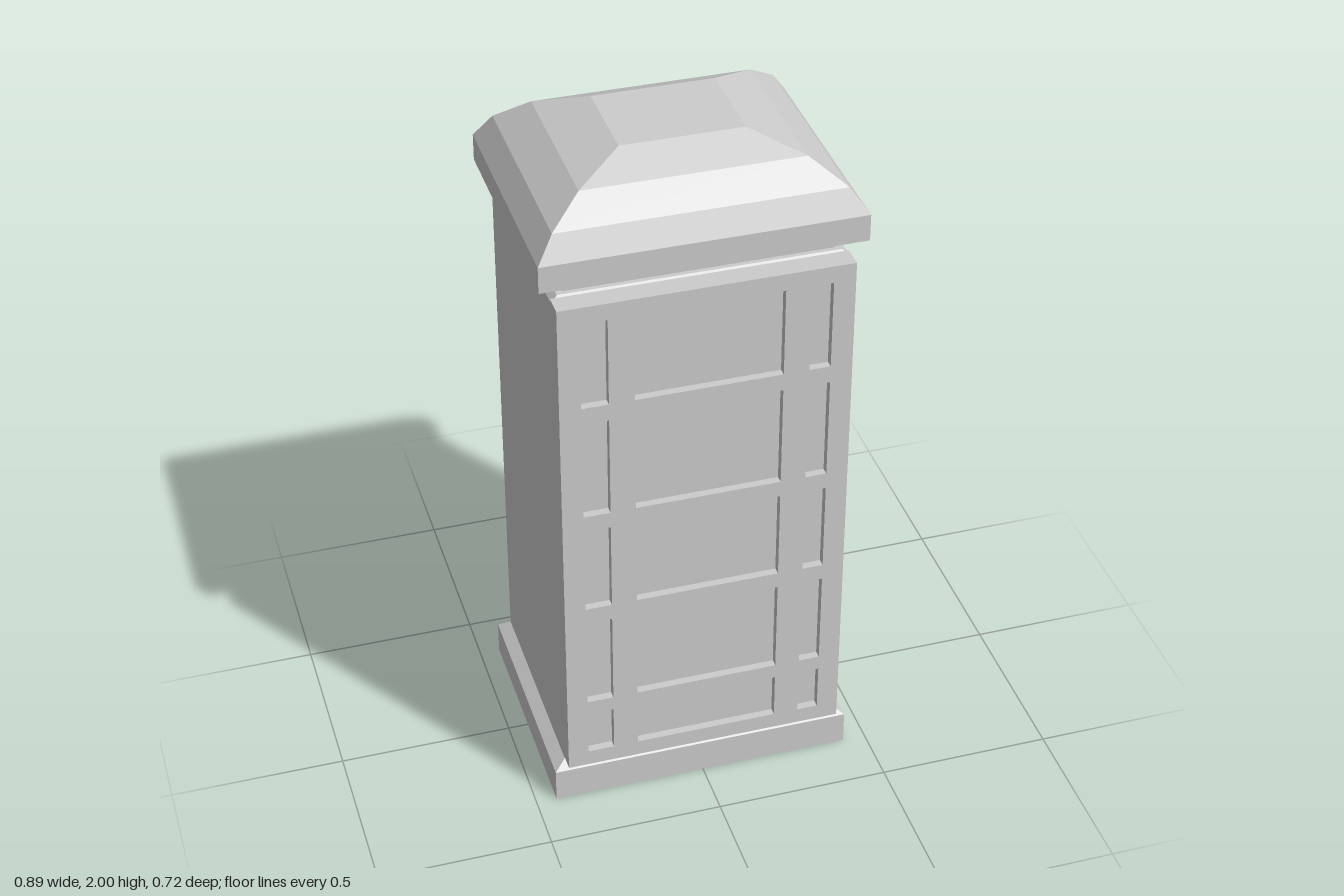
import * as THREE from 'three';

const CX = -0.004; // centre of the stacked sections
const CZ = -0.012;

// Rectangular sections [halfX, y, halfZ], bottom to top, joined and capped
function loft(name, sections, material) {
  const rings = sections.map(([hx, y, hz]) => [
    [CX - hx, y, CZ + hz], [CX + hx, y, CZ + hz],
    [CX + hx, y, CZ - hz], [CX - hx, y, CZ - hz],
  ]);
  const pos = [];
  const quad = (a, b, c, d) => [a, b, c, a, c, d].forEach((p) => pos.push(...p));
  for (let i = 0; i < rings.length - 1; i++) {
    const lo = rings[i], hi = rings[i + 1];
    for (let k = 0; k < 4; k++) {
      const n = (k + 1) % 4;
      quad(lo[k], lo[n], hi[n], hi[k]);
    }
  }
  const [a, b, c, d] = rings[0];
  quad(d, c, b, a);
  quad(...rings[rings.length - 1]);
  const geo = new THREE.BufferGeometry();
  geo.setAttribute('position', new THREE.Float32BufferAttribute(pos, 3));
  geo.computeVertexNormals();
  const mesh = new THREE.Mesh(geo, material);
  mesh.name = name;
  return mesh;
}

// Traces a rectangle onto a shape or path
function rect(path, x0, y0, x1, y1) {
  path.moveTo(x0, y0);
  path.lineTo(x1, y0);
  path.lineTo(x1, y1);
  path.lineTo(x0, y1);
  path.closePath();
  return path;
}

export function createModel() {
  const group = new THREE.Group();
  group.name = 'telephoneBooth';
  const grey = new THREE.MeshStandardMaterial({ color: 0xcccccc });
  grey.name = 'plain grey';

  // Plinth with a sloped upper edge
  group.add(loft('plinth', [
    [0.437, 0, 0.345], [0.437, 0.1, 0.345], [0.403, 0.125, 0.319],
  ], grey));

  // Cabin with a small chamfer around the top
  group.add(loft('cabin', [
    [0.403, 0.125, 0.319], [0.403, 1.675, 0.319], [0.385, 1.693, 0.304],
  ], grey));

  // Recessed neck below the roof
  group.add(loft('neck', [[0.367, 1.69, 0.291], [0.367, 1.737, 0.291]], grey));

  // Faceted domed roof with a straight rim
  group.add(loft('roof', [
    [0.443, 1.735, 0.349], [0.443, 1.812, 0.349], [0.395, 1.882, 0.312],
    [0.305, 1.95, 0.24], [0.17, 2, 0.135],
  ], grey));

  // Door backing, seen through the openings
  const x0 = -0.409, x1 = 0.396, y0 = 0.137, y1 = 1.69;
  const backing = new THREE.Mesh(new THREE.BoxGeometry(x1 - x0, y1 - y0, 0.04), grey);
  backing.position.set((x0 + x1) / 2, (y0 + y1) / 2, 0.32);
  backing.name = 'doorBacking';
  group.add(backing);

  // Door frame with three columns and five rows of window openings
  const columns = [[-0.35, -0.275], [-0.204, 0.204], [0.275, 0.335]];
  const rows = [[0.185, 0.325], [0.37, 0.656], [0.705, 0.974], [1.023, 1.326], [1.377, 1.64]];
  const shape = rect(new THREE.Shape(), x0, y0, x1, y1);
  for (const [l, r] of columns) {
    for (const [b, t] of rows) shape.holes.push(rect(new THREE.Path(), l, b, r, t));
  }
  const frame = new THREE.Mesh(
    new THREE.ExtrudeGeometry(shape, { depth: 0.023, bevelEnabled: false }), grey);
  frame.position.z = 0.34;
  frame.name = 'doorFrame';
  group.add(frame);

  return group;
}
